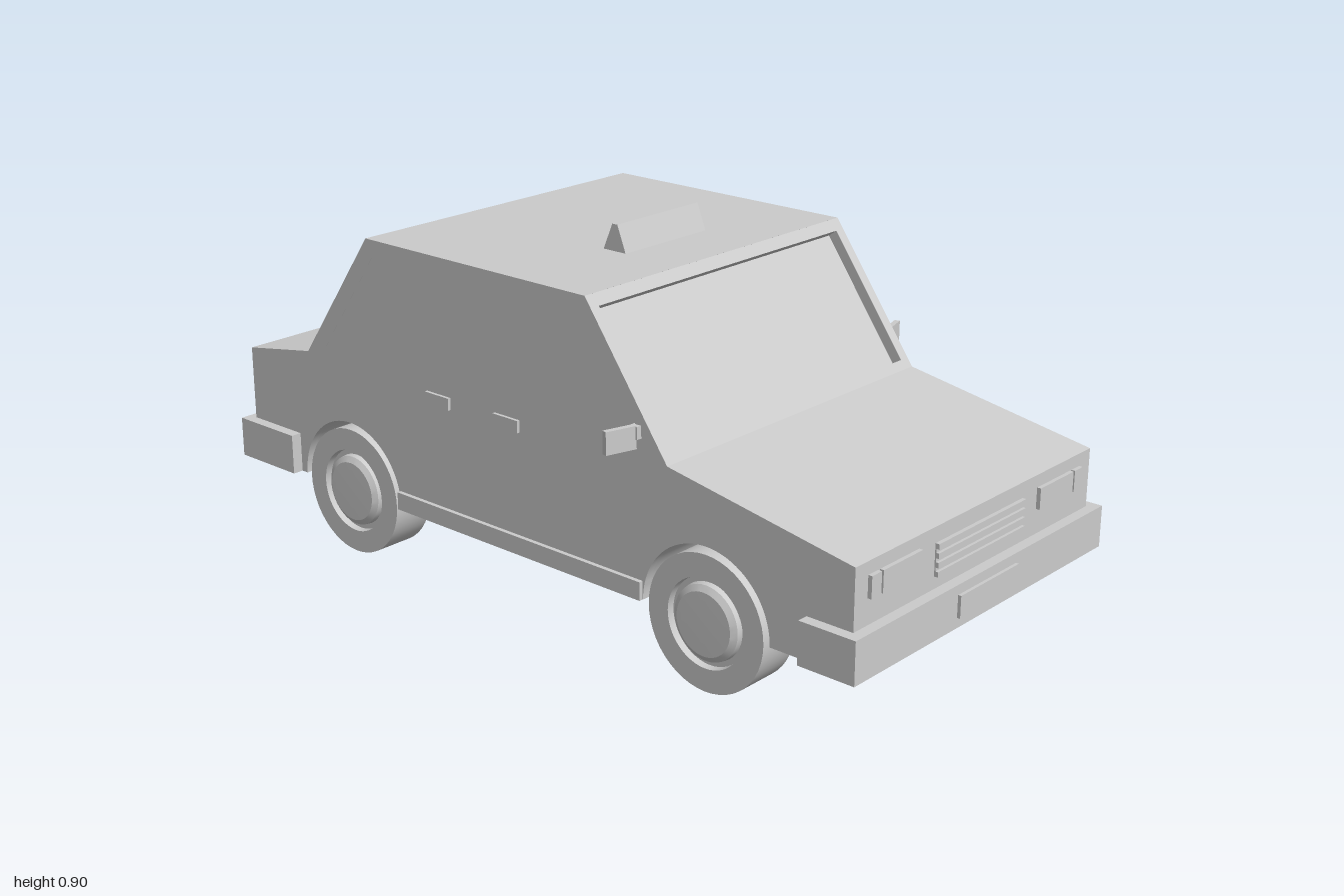
import * as THREE from 'three';
import { toCreasedNormals } from 'three/addons/utils/BufferGeometryUtils.js';

const material = new THREE.MeshStandardMaterial({ color: 0xcccccc });
const ARCHES = [0.57, -0.59];
const GLASS_DEPTH = 0.028;
const PLATE_INNER = 0.435, BODY_SIDE = 0.455;
const v2 = (x, y) => new THREE.Vector2(x, y);

function addMesh(parent, name, geometry) {
  const mesh = new THREE.Mesh(geometry, material);
  mesh.name = name;
  parent.add(mesh);
  return mesh;
}

// Box given by its min and max corners
function addBox(parent, name, x0, x1, y0, y1, z0, z1) {
  const mesh = addMesh(parent, name, new THREE.BoxGeometry(x1 - x0, y1 - y0, Math.abs(z1 - z0)));
  mesh.position.set((x0 + x1) / 2, (y0 + y1) / 2, (z0 + z1) / 2);
  return mesh;
}

function extrude(shape, z0, z1) {
  const geometry = new THREE.ExtrudeGeometry(shape, { depth: z1 - z0, bevelEnabled: false, curveSegments: 32 });
  geometry.translate(0, 0, z0);
  return toCreasedNormals(geometry, 0.4);
}

// Side outline of the car; recess pushes the two sloping screens inwards
function bodyOutline(recess) {
  const dx = 0.813 * recess, dy = 0.583 * recess;
  const shape = new THREE.Shape();
  shape.moveTo(-0.97, 0.165);
  const points = [[-0.97, 0.46], [-0.74, 0.5]];
  if (recess) points.push([-0.74 + dx, 0.5 - dy], [-0.5 + dx, 0.835 - dy]);
  points.push([-0.5, 0.835], [0.22, 0.835]);
  if (recess) points.push([0.22 - dx, 0.835 - dy], [0.46 - dx, 0.5 - dy]);
  points.push([0.46, 0.5], [0.965, 0.413], [0.965, 0.165]);
  points.forEach(([x, y]) => shape.lineTo(x, y));
  ARCHES.forEach((x) => {
    shape.lineTo(x + 0.18, 0.165);
    shape.absarc(x, 0.165, 0.18, 0, Math.PI, false);
  });
  shape.closePath();
  return shape;
}

// Frame around a sloping screen, t0..t1 being the opening along the slope
function addScreenFrame(parent, name, dir, baseX, t0, t1) {
  const length = 0.412, w = PLATE_INNER, h = 0.428;
  const shape = new THREE.Shape([v2(-w, 0), v2(w, 0), v2(w, length), v2(-w, length)]);
  shape.holes.push(new THREE.Path([
    v2(-h, t0 * length), v2(-h, t1 * length), v2(h, t1 * length), v2(h, t0 * length)]));
  const normal = new THREE.Vector3(dir * 0.813, 0.583, 0);
  const up = new THREE.Vector3(-dir * 0.583, 0.813, 0);
  const across = new THREE.Vector3().crossVectors(up, normal);
  const geometry = extrude(shape, -GLASS_DEPTH, 0);
  geometry.applyMatrix4(new THREE.Matrix4().makeBasis(across, up, normal).setPosition(baseX, 0.5, 0));
  addMesh(parent, name, geometry);
}

function wheelGeometry() {
  // Tyre, groove and slightly domed hub, outer face towards +y
  const profile = [
    [0, 0.345], [0.163, 0.345], [0.163, 0.455], [0.107, 0.455], [0.105, 0.438],
    [0.092, 0.438], [0.09, 0.452], [0.076, 0.461], [0, 0.462],
  ].map(([r, y]) => v2(r, y));
  return toCreasedNormals(new THREE.LatheGeometry(profile, 48), 0.5);
}

export function createModel() {
  const car = new THREE.Group();
  car.name = 'car';

  // Body: inner core, screen frames and side panels with window openings
  addMesh(car, 'bodyCore', extrude(bodyOutline(GLASS_DEPTH), -PLATE_INNER, PLATE_INNER));
  addScreenFrame(car, 'windscreenFrame', 1, 0.46, 0.06, 0.925);
  addScreenFrame(car, 'rearScreenFrame', -1, -0.74, 0.12, 0.86);

  const panel = bodyOutline(0);
  panel.holes.push(
    new THREE.Path([v2(-0.69, 0.53), v2(-0.49, 0.807), v2(-0.165, 0.807), v2(-0.165, 0.53)]),
    new THREE.Path([v2(-0.125, 0.53), v2(-0.125, 0.807), v2(0.203, 0.807), v2(0.4, 0.53)]));
  addMesh(car, 'leftSidePanel', extrude(panel, PLATE_INNER, BODY_SIDE));
  addMesh(car, 'rightSidePanel', extrude(panel, -BODY_SIDE, -PLATE_INNER));

  // Roof sign
  const sign = new THREE.Shape([v2(-0.014, 0.834), v2(0.056, 0.834), v2(0.03, 0.9), v2(0.014, 0.9)]);
  addMesh(car, 'roofSign', extrude(sign, -0.143, 0.143));

  // Bumpers and number plates
  addBox(car, 'frontBumper', 0.845, 0.992, 0.165, 0.268, -0.483, 0.483);
  addBox(car, 'rearBumper', -0.995, -0.79, 0.165, 0.268, -0.483, 0.483);
  addBox(car, 'frontPlate', 0.98, 1, 0.19, 0.244, -0.114, 0.114);
  addBox(car, 'rearPlate', -1, -0.98, 0.19, 0.244, -0.114, 0.114);

  // Grille
  addBox(car, 'grilleBack', 0.955, 0.968, 0.298, 0.375, -0.17, 0.17);
  for (let i = 0; i < 4; i++) {
    const y = 0.298 + i * 0.0215;
    addBox(car, 'grilleSlat', 0.96, 0.975, y, y + 0.0125, -0.17, 0.17);
  }

  const wheel = wheelGeometry();
  for (const s of [1, -1]) {
    // Lamps
    addBox(car, 'headlight', 0.95, 0.975, 0.33, 0.382, s * 0.23, s * 0.37);
    addBox(car, 'frontIndicator', 0.95, 0.975, 0.33, 0.382, s * 0.376, s * 0.41);
    addBox(car, 'tailLight', -0.98, -0.95, 0.345, 0.405, s * 0.243, s * 0.41);

    // Sills and door handles
    addBox(car, 'sill', -0.41, 0.389, 0.165, 0.21, s * 0.45, s * 0.466);
    for (const x of [-0.3, -0.07])
      addBox(car, 'doorHandle', x, x + 0.08, 0.467, 0.497, s * 0.45, s * 0.463);

    // Swept-back door mirrors
    addBox(car, 'mirrorStalk', 0.362, 0.384, 0.545, 0.575, s * 0.43, s * 0.468);
    const mirror = addBox(car, 'mirror', 0.357, 0.371, 0.523, 0.577, s * 0.462, s * 0.54);
    mirror.rotation.y = -s * 0.28;

    // Wheels
    ARCHES.forEach((x, i) => {
      const mesh = addMesh(car, i ? 'rearWheel' : 'frontWheel', wheel);
      mesh.rotation.x = s * Math.PI / 2;
      mesh.position.set(x, 0.163, 0);
    });
  }
  return car;
}
